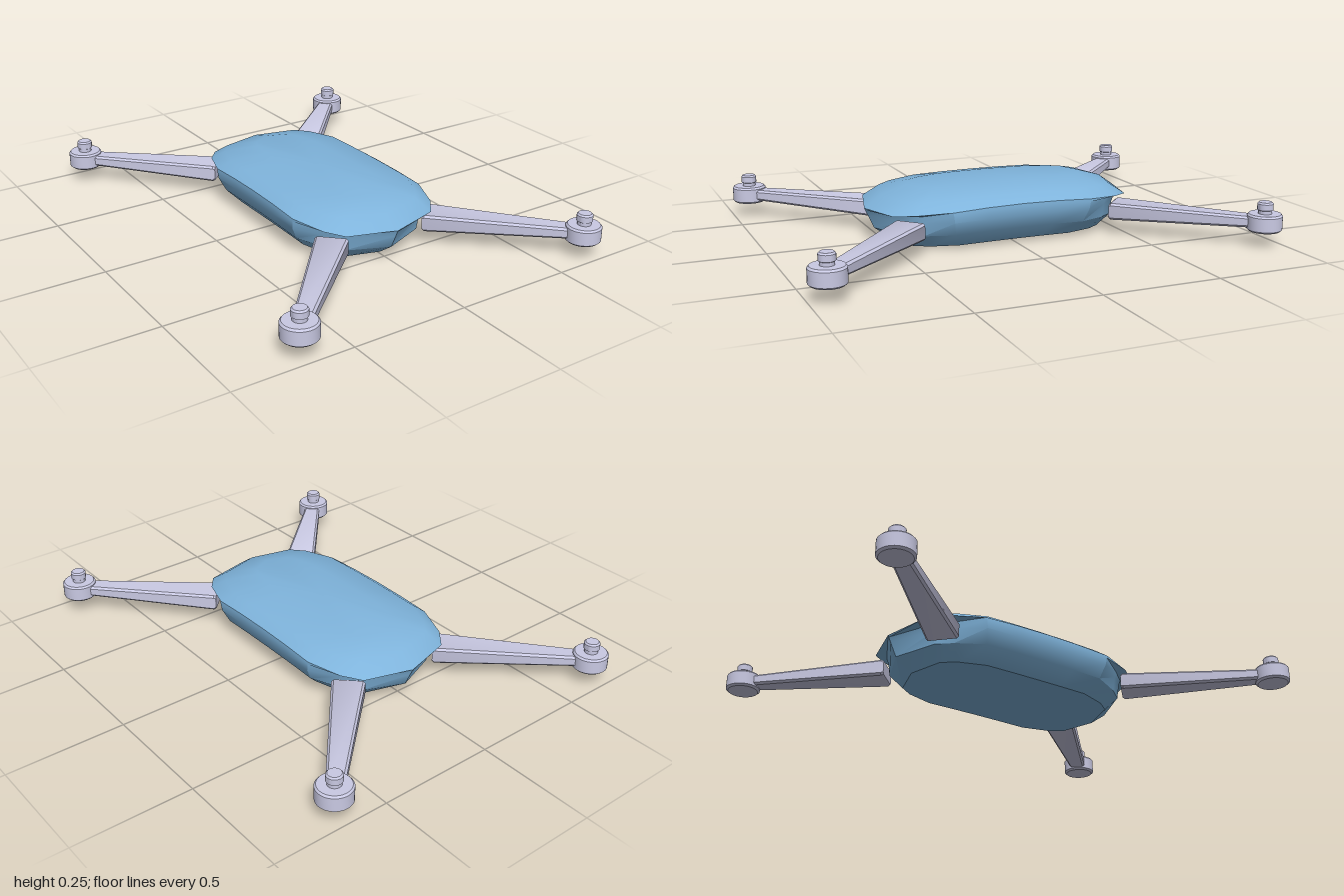
import * as THREE from 'three';
import { toCreasedNormals } from 'three/addons/utils/BufferGeometryUtils.js';

const blue = new THREE.MeshStandardMaterial({ color: 0x7fb4dc });
const lilac = new THREE.MeshStandardMaterial({ color: 0xcacae4 });

// Skin stacked rings (lowest first, each running from +x towards +z) and close both ends
function loft(rings, bottom, top, crease) {
  const n = rings[0].length;
  const pos = [];
  const tri = (...pts) => pts.forEach((p) => pos.push(...p));
  for (let i = 0; i < n; i++) {
    const k = (i + 1) % n;
    for (let r = 0; r < rings.length - 1; r++) {
      const a = rings[r], b = rings[r + 1];
      tri(a[i], b[i], a[k]);
      tri(a[k], b[i], b[k]);
    }
    const last = rings[rings.length - 1];
    tri(bottom, rings[0][i], rings[0][k]);
    tri(top, last[k], last[i]);
  }
  const g = new THREE.BufferGeometry();
  g.setAttribute('position', new THREE.Float32BufferAttribute(pos, 3));
  return toCreasedNormals(g, crease);
}

function mesh(geometry, material, name) {
  const m = new THREE.Mesh(geometry, material);
  m.name = name;
  return m;
}

// Body: one plan outline scaled per level, arched along its length
function bodyGeometry() {
  // Quarter of the outline: x, z, and whether the point sits in an arm socket
  const quarter = [[1, 0, 0], [1, 0.27, 0], [1, 0.53, 0], [0.84, 0.78, 1], [0.66, 0.905, 1], [0, 1, 0]];
  const half = [...quarter, ...quarter.slice(0, 5).reverse().map(([x, z, s]) => [-x, z, s])];
  const outline = [...half, ...half.slice(1, -1).reverse().map(([x, z, s]) => [x, -z, s])];
  // y at the ends, rise in the middle, half width, half length, socket inset
  const levels = [
    [0.008, 0.006, 0.23, 0.47, 1],
    [0.062, 0.015, 0.288, 0.545, 0.96],
    [0.12, 0.015, 0.316, 0.572, 0.92],
    [0.142, 0.03, 0.319, 0.582, 0.92],
    [0.15, 0.035, 0.318, 0.586, 1],
    [0.2, 0.017, 0.27, 0.515, 1],
    [0.234, 0.009, 0.13, 0.4, 1],
  ];
  const rings = levels.map(([y, rise, w, l, inset]) => outline.map(([x, z, s]) => {
    const k = s ? inset : 1;
    return [x * w * k, y + rise * (1 - z * z), z * l * k];
  }));
  return loft(rings, [0, 0, 0], [0, 0.245, 0], 0.5);
}

// Arm: tapering bar with bevelled edges, lying along +z
function armGeometry(length) {
  const section = (y, w, h) => {
    const b = 0.009;
    return [
      [w, y, -h + b], [w, y, h - b], [w - b, y, h], [b - w, y, h],
      [-w, y, h - b], [-w, y, b - h], [b - w, y, -h], [w - b, y, -h],
    ];
  };
  const rings = [section(0, 0.062, 0.03), section(0.01, 0.068, 0.036), section(length, 0.034, 0.022)];
  return loft(rings, [0, 0, 0], [0, length, 0], 0.6).rotateX(Math.PI / 2);
}

// Motor: bevelled pod with a short capped shaft
function motorGeometry() {
  const profile = [
    [0, 0.063], [0.064, 0.063], [0.073, 0.071], [0.073, 0.128], [0.066, 0.136], [0.028, 0.136],
    [0.028, 0.15], [0.033, 0.153], [0.033, 0.178], [0.027, 0.185], [0, 0.185],
  ].map(([x, y]) => new THREE.Vector2(x, y));
  return toCreasedNormals(new THREE.LatheGeometry(profile, 32), 0.5);
}

export function createModel() {
  const model = new THREE.Group();
  model.name = 'drone';
  model.add(mesh(bodyGeometry(), blue, 'body'));

  const root = [0.23, 0.46], tip = [0.682, 0.927];
  const dx = tip[0] - root[0], dz = tip[1] - root[1];
  const arm = armGeometry(Math.hypot(dx, dz));
  const motor = motorGeometry();
  for (const sx of [1, -1]) {
    for (const sz of [1, -1]) {
      const name = (sz > 0 ? 'front' : 'rear') + (sx > 0 ? 'Left' : 'Right');
      const a = mesh(arm, lilac, name + 'Arm');
      a.position.set(sx * root[0], 0.1, sz * root[1]);
      a.rotation.y = Math.atan2(sx * dx, sz * dz);
      const m = mesh(motor, lilac, name + 'Motor');
      m.position.set(sx * tip[0], 0, sz * tip[1]);
      model.add(a, m);
    }
  }
  return model;
}
